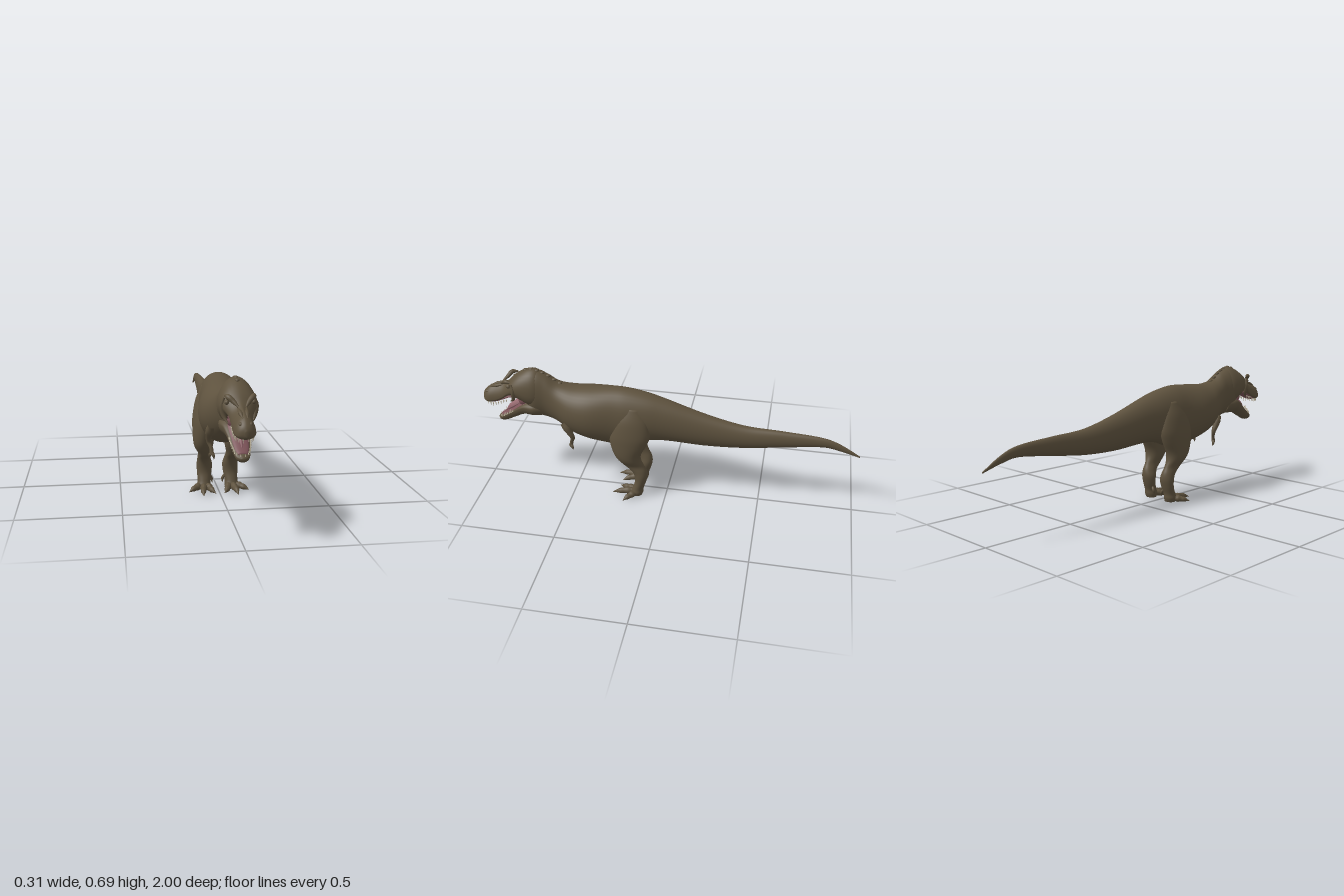
import * as THREE from 'three';

const mat = (name, color) => Object.assign(new THREE.MeshStandardMaterial({ color }), { name });

// Uniform Catmull-Rom through rows of numbers
function sampleRows(rows, t) {
  const s = Math.min(t * (rows.length - 1), rows.length - 1 - 1e-6);
  const i = Math.floor(s), k = s - i;
  const at = n => rows[Math.max(0, Math.min(rows.length - 1, n))];
  return rows[0].map((_, c) => {
    const [a, b, d, e] = [at(i - 1)[c], at(i)[c], at(i + 1)[c], at(i + 2)[c]];
    return b + 0.5 * k * (d - a + k * (2 * a - 5 * b + 4 * d - e + k * (3 * (b - d) + e - a)));
  });
}

// Smooth closed loft. Row: [along, top, bottom, halfWidth, level of widest point, upper taper, centre]
function loft(rows, place, sides = 32, steps = 5) {
  const full = rows.map(r => [r[0], r[1], r[2], r[3], r[4] ?? 0.5, r[5] ?? 1, r[6] ?? 0]);
  const n = (rows.length - 1) * steps, pos = [], idx = [];
  for (let i = 0; i <= n; i++) {
    const [w, top, bot, hw, f, p, c] = sampleRows(full, i / n);
    const mid = bot + (top - bot) * f;
    for (let j = 0; j < sides; j++) {
      const a = j / sides * Math.PI * 2, cs = Math.cos(a), sn = Math.sin(a);
      const u = c + hw * Math.sign(cs) * Math.abs(cs) ** (sn > 0 ? p : 1);
      pos.push(...place(u, mid + sn * (sn > 0 ? top - mid : mid - bot), w));
      if (i < n) {
        const q = i * sides + j, r = i * sides + (j + 1) % sides;
        idx.push(q, r, q + sides, r, r + sides, q + sides);
      }
    }
    if (i === 0 || i === n) full[i ? 'end' : 'start'] = place(c, mid, w);
  }
  // end caps
  const s = pos.length / 3, last = n * sides;
  pos.push(...full.start, ...full.end);
  for (let j = 0; j < sides; j++) {
    const k = (j + 1) % sides;
    idx.push(s, k, j, s + 1, last + j, last + k);
  }
  const g = new THREE.BufferGeometry();
  g.setAttribute('position', new THREE.Float32BufferAttribute(pos, 3));
  g.setIndex(idx);
  g.computeVertexNormals();
  return g;
}
const alongZ = (u, v, w) => [u, v, w];
const alongY = (u, v, w) => [v, w, u];

// Tube whose radius follows a list
function limb(points, radii) {
  const n = 20, sides = 12;
  const curve = new THREE.CatmullRomCurve3(points.map(p => new THREE.Vector3(...p)));
  const g = new THREE.TubeGeometry(curve, n, 1, sides);
  const P = g.attributes.position, v = new THREE.Vector3();
  const rows = radii.map(r => [r]);
  for (let i = 0; i <= n; i++) {
    const c = curve.getPointAt(i / n), r = Math.max(0.0005, sampleRows(rows, i / n)[0]);
    for (let j = 0; j <= sides; j++) {
      const k = i * (sides + 1) + j;
      v.fromBufferAttribute(P, k).sub(c).multiplyScalar(r).add(c);
      P.setXYZ(k, v.x, v.y, v.z);
    }
  }
  g.computeVertexNormals();
  return g;
}

const ball = (x, y, z, a, b, c) => new THREE.SphereGeometry(1, 16, 12).scale(a, b, c).translate(x, y, z);

function mirrored(geo) {
  const g = geo.clone().scale(-1, 1, 1), ix = g.index.array;
  for (let i = 0; i < ix.length; i += 3) [ix[i], ix[i + 1]] = [ix[i + 1], ix[i]];
  g.computeVertexNormals();
  return g;
}

export function createModel() {
  const model = new THREE.Group();
  model.name = 'dinosaur';
  const skin = mat('brown skin', 0x5e523e), mouth = mat('mouth pink', 0x7c5358);
  const tongueMat = mat('tongue pink', 0x96696f), ivory = mat('tooth ivory', 0xc8bea6);
  const add = (name, geo, m = skin) => {
    const mesh = new THREE.Mesh(geo, m);
    mesh.name = name;
    model.add(mesh);
  };
  const pair = (name, geo, m) => {
    add('left ' + name, geo, m);
    add('right ' + name, mirrored(geo), m);
  };

  // Tail, torso and neck
  const bodyRows = [
    [-1, 0.352, 0.345, 0.003], [-0.9, 0.411, 0.373, 0.009], [-0.8, 0.443, 0.388, 0.016],
    [-0.6, 0.457, 0.362, 0.027], [-0.4, 0.467, 0.336, 0.04], [-0.2, 0.512, 0.328, 0.056],
    [0, 0.575, 0.338, 0.077], [0.1, 0.603, 0.328, 0.092], [0.2, 0.621, 0.292, 0.105],
    [0.28, 0.624, 0.29, 0.111], [0.4, 0.616, 0.312, 0.128], [0.5, 0.61, 0.345, 0.116],
    [0.58, 0.624, 0.392, 0.085], [0.64, 0.663, 0.412, 0.073], [0.7, 0.685, 0.422, 0.078],
    [0.74, 0.66, 0.43, 0.06]];
  add('body', loft(bodyRows, alongZ, 40, 6));

  // Skull and snout
  add('upper head', loft([
    [0.65, 0.655, 0.48, 0.06, 0.45, 1.1], [0.69, 0.687, 0.475, 0.079, 0.42, 1.15],
    [0.73, 0.69, 0.48, 0.085, 0.42, 1.15], [0.78, 0.668, 0.508, 0.082, 0.45, 1.1],
    [0.82, 0.638, 0.53, 0.072, 0.45, 1.1], [0.85, 0.608, 0.525, 0.055, 0.35, 1.2],
    [0.88, 0.592, 0.505, 0.048, 0.25, 1.4], [0.92, 0.58, 0.485, 0.047, 0.22, 1.5],
    [0.96, 0.564, 0.476, 0.046, 0.25, 1.3], [0.987, 0.54, 0.478, 0.032, 0.3, 1.1],
    [1, 0.515, 0.49, 0.006]], alongZ));
  // Lower jaw
  add('lower jaw', loft([
    [0.66, 0.53, 0.425, 0.06], [0.71, 0.52, 0.42, 0.076, 0.6], [0.77, 0.497, 0.417, 0.062, 0.75],
    [0.83, 0.45, 0.388, 0.046, 0.8], [0.88, 0.414, 0.363, 0.038, 0.8],
    [0.912, 0.395, 0.36, 0.029, 0.7], [0.927, 0.382, 0.372, 0.008]], alongZ));

  // Mouth lining and tongue
  add('palate', loft([
    [0.74, 0.54, 0.49, 0.045], [0.82, 0.55, 0.522, 0.05], [0.88, 0.525, 0.499, 0.04],
    [0.93, 0.503, 0.479, 0.038], [0.972, 0.49, 0.474, 0.018]], alongZ, 20), mouth);
  add('mouth floor', loft([
    [0.74, 0.517, 0.49, 0.045], [0.78, 0.497, 0.465, 0.046], [0.83, 0.456, 0.43, 0.038],
    [0.88, 0.42, 0.4, 0.031], [0.91, 0.401, 0.385, 0.02]], alongZ, 20), mouth);
  add('throat', ball(0, 0.51, 0.77, 0.05, 0.04, 0.035), mouth);
  add('tongue', limb([[0, 0.5, 0.77], [0, 0.468, 0.82], [0, 0.44, 0.86], [0, 0.418, 0.885]],
    [0.02, 0.021, 0.017, 0.001]), tongueMat);

  // Teeth follow both jaw rims
  const tooth = (x, y, z, h, up) => {
    const g = new THREE.ConeGeometry(0.0038, h, 6);
    if (!up) g.rotateX(Math.PI);
    return g.translate(x, y + (up ? h : -h) * 0.3, z);
  };
  for (let i = 0; i < 9; i++) {
    const t = i / 8, h = 0.017 + 0.008 * Math.abs(Math.sin(i * 2.3));
    const arc = Math.sqrt(1 - t ** 4 * 0.96);
    pair('upper tooth', tooth(0.004 + 0.039 * arc, 0.505 - 0.027 * Math.min(1, t * 1.6), 0.86 + 0.123 * t, h, false), ivory);
    pair('lower tooth', tooth(0.004 + (0.042 - 0.012 * t) * arc, 0.445 - 0.06 * t, 0.83 + 0.088 * t, h, true), ivory);
  }

  // Brow ridges, eyes, cheeks and nostrils
  pair('brow ridge', limb([[0.016, 0.592, 0.888], [0.034, 0.612, 0.864], [0.054, 0.629, 0.846], [0.064, 0.628, 0.815]],
    [0.004, 0.01, 0.012, 0.004]));
  pair('eye', ball(0.058, 0.603, 0.833, 0.01, 0.011, 0.013));
  pair('cheek ridge', limb([[0.066, 0.62, 0.815], [0.074, 0.58, 0.805], [0.066, 0.535, 0.81], [0.052, 0.51, 0.83]],
    [0.004, 0.011, 0.01, 0.003]));
  pair('nostril', ball(0.022, 0.538, 0.965, 0.008, 0.011, 0.016));
  pair('snout ridge', limb([[0.018, 0.588, 0.88], [0.014, 0.574, 0.92], [0.01, 0.56, 0.96]], [0.003, 0.009, 0.003]));

  // Bumps along the nape
  [[0.57, 0.621], [0.6, 0.639], [0.63, 0.659], [0.66, 0.674], [0.69, 0.684], [0.72, 0.689], [0.75, 0.682]].forEach(
    ([z, y]) => add('nape scute', ball(0, y - 0.002, z, 0.011, 0.008, 0.013)));

  // Legs, from sole to hip: y, back z, front z, inner x, outer x
  const legRows = [
    [0.004, 0.127, 0.18, 0.04, 0.1], [0.025, 0.12, 0.188, 0.036, 0.107], [0.05, 0.118, 0.178, 0.038, 0.104],
    [0.09, 0.105, 0.165, 0.03, 0.106], [0.13, 0.096, 0.168, 0.027, 0.107], [0.165, 0.1, 0.185, 0.036, 0.104],
    [0.2, 0.116, 0.225, 0.041, 0.104], [0.24, 0.13, 0.256, 0.032, 0.124], [0.28, 0.125, 0.277, 0.027, 0.132],
    [0.34, 0.095, 0.292, 0.025, 0.134], [0.4, 0.078, 0.292, 0.025, 0.131], [0.48, 0.09, 0.268, 0.03, 0.115],
    [0.55, 0.13, 0.215, 0.04, 0.085]];
  pair('leg', loft(legRows.map(([y, b, f, xi, xo]) => [y, xo, xi, (f - b) / 2, 0.5, 1, (f + b) / 2]), alongY));

  // Toes with claws
  const toes = [[[0.075, 0.024, 0.16], [0.08, 0.022, 0.215], [0.085, 0.018, 0.25], [0.088, 0.007, 0.29]],
    [[0.085, 0.024, 0.155], [0.11, 0.02, 0.18], [0.132, 0.016, 0.2], [0.155, 0.007, 0.22]],
    [[0.06, 0.024, 0.16], [0.048, 0.021, 0.2], [0.038, 0.016, 0.23], [0.022, 0.007, 0.258]]];
  toes.forEach(t => pair('toe', limb(t, [0.02, 0.016, 0.019, 0.015, 0.014, 0.007, 0.001])));
  pair('dewclaw', limb([[0.042, 0.068, 0.135], [0.031, 0.052, 0.13], [0.026, 0.026, 0.135]], [0.007, 0.008, 0.001]));

  // Arms with two fingers
  pair('arm', limb([[0.083, 0.43, 0.54], [0.091, 0.385, 0.512], [0.09, 0.345, 0.494], [0.08, 0.315, 0.503], [0.077, 0.285, 0.51]],
    [0.018, 0.021, 0.016, 0.012, 0.009, 0.01]));
  for (const [x, z] of [[0.07, 0.516], [0.086, 0.5]])
    pair('finger', limb([[0.077, 0.295, 0.509], [x, 0.28, z], [x - 0.002, 0.262, z - 0.003]], [0.008, 0.007, 0.001]));

  return model;
}
